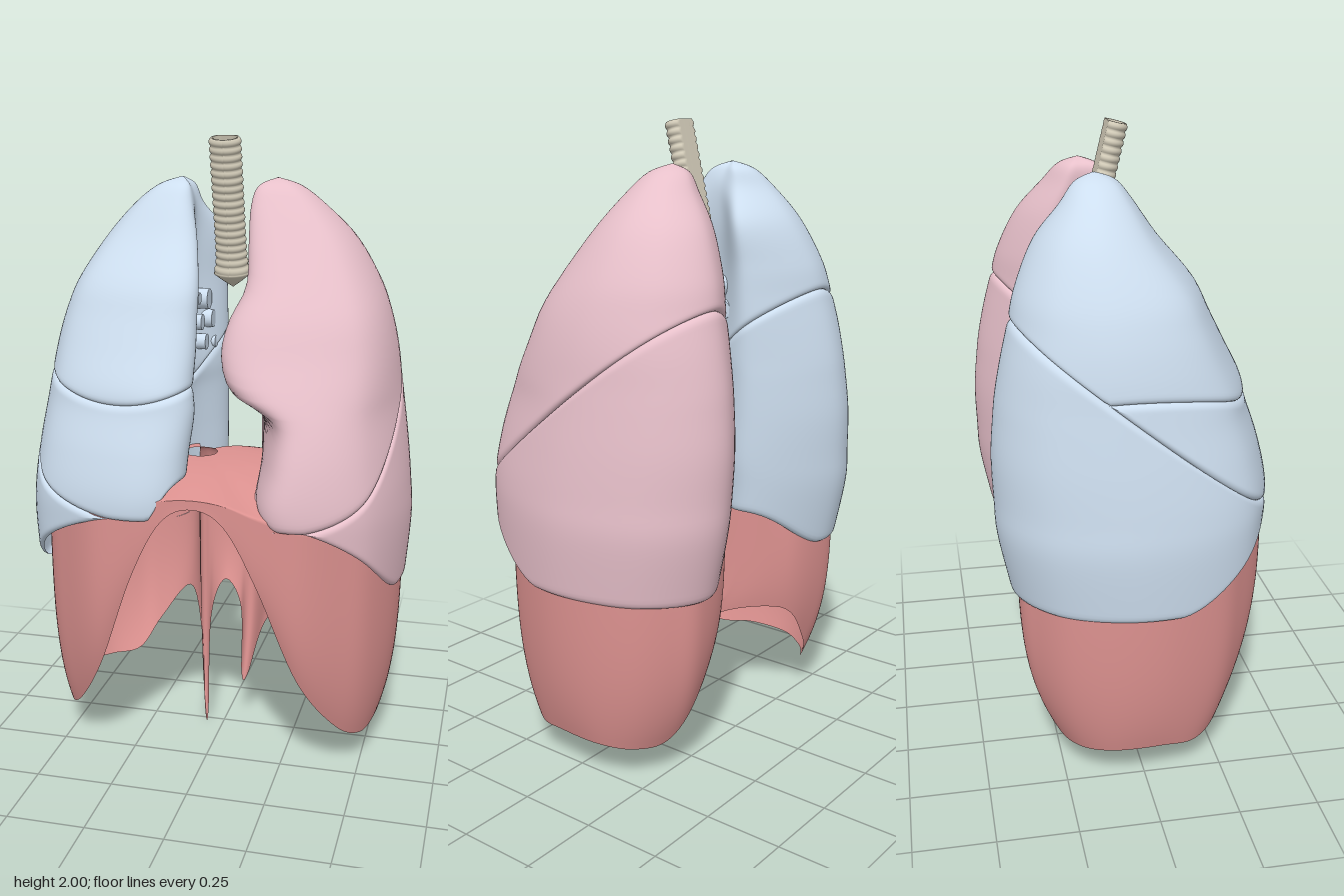
import * as THREE from 'three';

const { lerp, clamp, smoothstep } = THREE.MathUtils;
const PINK = 0xe7c0ca, BLUE = 0xcddeef, RED = 0xdd9290, BONE = 0xd2cbb8;

function mesh(name, geometry, color) {
  const m = new THREE.Mesh(geometry, new THREE.MeshStandardMaterial({ color, side: THREE.DoubleSide }));
  m.name = name;
  return m;
}

// Surface closed around u, open along v
function ringGrid(cols, rows, fn, flip) {
  const pos = [], idx = [];
  for (let j = 0; j <= rows; j++)
    for (let i = 0; i < cols; i++) pos.push(...fn(i, j / rows));
  for (let j = 0; j < rows; j++)
    for (let i = 0; i < cols; i++) {
      const a = j * cols + i, b = j * cols + (i + 1) % cols, c = a + cols, d = b + cols;
      if (flip) idx.push(a, b, c, b, d, c);
      else idx.push(a, c, b, b, c, d);
    }
  const g = new THREE.BufferGeometry();
  g.setAttribute('position', new THREE.Float32BufferAttribute(pos, 3));
  g.setIndex(idx);
  g.computeVertexNormals();
  return g;
}

// Catmull-Rom through rows of numbers, closed or clamped at the ends
function spline(rows, u, closed) {
  const n = rows.length, k = closed ? Math.floor(u) : Math.min(Math.floor(u), n - 2), t = u - k;
  const at = i => rows[closed ? (i + n) % n : clamp(i, 0, n - 1)];
  const [a, b, c, d] = [at(k - 1), at(k), at(k + 1), at(k + 2)];
  return b.map((_, i) => 0.5 * (2 * b[i] + (c[i] - a[i]) * t
    + (2 * a[i] - 5 * b[i] + 4 * c[i] - d[i]) * t * t
    + (3 * b[i] - a[i] - 3 * c[i] + d[i]) * t * t * t));
}

// Lung sections: y, inner front x, inner middle x, inner back x, outer x, front z, back z
const LEFT = [
  [0.50, 0.23, 0.20, 0.13, 0.595, 0.38, -0.37],
  [0.60, 0.22, 0.18, 0.12, 0.608, 0.41, -0.39],
  [0.80, 0.20, 0.16, 0.11, 0.622, 0.43, -0.43],
  [0.92, 0.18, 0.15, 0.10, 0.615, 0.437, -0.437],
  [1.05, 0.205, 0.14, 0.10, 0.60, 0.41, -0.44],
  [1.17, 0.20, 0.13, 0.10, 0.582, 0.37, -0.43],
  [1.25, 0.085, 0.12, 0.10, 0.57, 0.35, -0.42],
  [1.35, 0.045, 0.13, 0.10, 0.555, 0.30, -0.40],
  [1.45, 0.06, 0.14, 0.10, 0.53, 0.25, -0.375],
  [1.55, 0.10, 0.14, 0.10, 0.49, 0.18, -0.35],
  [1.68, 0.09, 0.12, 0.10, 0.41, 0.09, -0.29],
  [1.78, 0.085, 0.10, 0.10, 0.31, 0.02, -0.21],
  [1.84, 0.10, 0.105, 0.11, 0.23, -0.03, -0.16],
  [1.865, 0.15, 0.15, 0.15, 0.155, -0.095, -0.10],
];
const RIGHT_FRONT = [0.16, 0.12, 0.07, 0.05, 0.04, 0.03, 0.04, 0.04, 0.045, 0.05, 0.08, 0.11, 0.128, 0.16];
const RIGHT = LEFT.map(([y, , xm, xb, xo, zf, zb], i) => i < 11
  ? [y, RIGHT_FRONT[i], xm, xb - 0.055, xo, zf + (i === 9 ? 0.02 : 0), zb]
  : [y, RIGHT_FRONT[i], RIGHT_FRONT[i] + 0.005, RIGHT_FRONT[i], xo + 0.01, zf, zb]);

// Point on a lung: a runs 0..8 around the section, u along the section rows
function lungPoint(rows, a, u, inset = 0) {
  const [y, xi, xm, xb, xo, zf, zb] = spline(rows, u, false);
  const zc = (zf + zb) / 2, d = (zf - zb) / 2, cx = (xm + xo) / 2;
  const ring = [
    [xo, zc], [lerp(xm, xo, 0.8), zc + 0.73 * d], [lerp(xi, xo, 0.27), zf], [xi, zc + 0.78 * d],
    [xm, zc + 0.1 * d], [xb, zc - 0.55 * d], [lerp(xb, xo, 0.45), zb], [lerp(xb, xo, 0.85), zc - 0.7 * d],
  ];
  const [x, z] = spline(ring, a, true);
  const k = inset / Math.max(Math.hypot(x - cx, z - zc), 0.03);
  return [lerp(x, cx, k), y, lerp(z, zc, k)];
}

// Lobe boundaries as heights over x, z
const base = (x, z) => 0.6 + Math.max(
  0.26 * Math.pow(clamp((z - 0.1) / 0.33, 0, 1), 1.5),
  lerp(0.14, 0.38, smoothstep(z, -0.2, 0.12)) * (1 - smoothstep(x, 0.03, 0.3)));
const oblique = (x, z) => Math.max(base(x, z), 0.86 + 0.75 * (0.43 - z));
const horizontal = (x, z) => Math.max(oblique(x, z), 1.2 + 0.9 * Math.pow(x - 0.27, 2));

// Row position where the lung surface meets a boundary
function meet(rows, a, bound) {
  let lo = 0, hi = rows.length - 1;
  if (!bound) return hi;
  for (let i = 0; i < 26; i++) {
    const u = (lo + hi) / 2, [x, y, z] = lungPoint(rows, a, u);
    if (y < bound(x, z)) lo = u; else hi = u;
  }
  return lo;
}

function lobe(name, rows, side, lower, upper, color) {
  const cols = 112;
  const ends = Array.from({ length: cols }, (_, i) => {
    const a = i / cols * 8;
    return [a, meet(rows, a, lower), meet(rows, a, upper)];
  });
  // Edges roll inward so neighbouring lobes meet in a groove
  const geometry = ringGrid(cols, 44, (i, v) => {
    const [a, u0, u1] = ends[i], t = 0.5 - 0.5 * Math.cos(Math.PI * v), u = lerp(u0, u1, t);
    const y = lungPoint(rows, a, u)[1];
    const gap = Math.min(y - lungPoint(rows, a, u0)[1], upper ? lungPoint(rows, a, u1)[1] - y : 1);
    const e = 1 - clamp(gap / 0.022, 0, 1);
    const p = lungPoint(rows, a, u, 0.016 * (1 - Math.sqrt(1 - e * e)));
    return [p[0] * side, p[1], p[2]];
  }, side < 0);
  return mesh(name, geometry, color);
}

// Cut airways and vessels, nearly flush with the inner face of a lung
function hilum(side, x, color) {
  const g = new THREE.Group();
  g.name = side > 0 ? 'leftHilum' : 'rightHilum';
  [[1.47, -0.1, 0.034], [1.4, -0.05, 0.026], [1.4, -0.13, 0.03], [1.33, -0.08, 0.026], [1.48, -0.03, 0.02], [1.32, -0.15, 0.02]]
    .forEach(([y, z, r]) => {
      const stub = mesh('vesselStub', new THREE.CylinderGeometry(r, r, 0.09, 20), color);
      stub.rotation.z = Math.PI / 2;
      stub.position.set(side * (x + 0.045 + 0.2 * (z + 0.1)), y, z);
      g.add(stub);
    });
  return g;
}

// Half rims of the diaphragm from front middle to back middle: x, y, z
const LOW = [
  [0, 0.91, 0.42], [0.1, 0.86, 0.42], [0.2, 0.67, 0.41], [0.32, 0.35, 0.36], [0.43, 0.16, 0.26], [0.5, 0.10, 0.17],
  [0.535, 0.11, 0.05], [0.535, 0.11, -0.1], [0.48, 0.10, -0.2], [0.39, 0.11, -0.26], [0.32, 0.22, -0.31],
  [0.2, 0.37, -0.29], [0.12, 0.33, -0.12], [0.084, 0.18, 0], [0.066, 0.19, 0.02], [0.058, 0.43, 0], [0, 0.52, -0.01],
];
const HIGH = [
  [0, 0.94, 0.42], [0.1, 0.93, 0.42], [0.2, 0.9, 0.42], [0.33, 0.87, 0.405], [0.45, 0.85, 0.32], [0.53, 0.84, 0.23],
  [0.59, 0.83, 0.06], [0.59, 0.83, -0.1], [0.54, 0.83, -0.24], [0.45, 0.83, -0.33], [0.36, 0.83, -0.375],
  [0.2, 0.86, -0.34], [0.14, 0.9, -0.2], [0.105, 0.92, -0.08], [0.075, 0.92, -0.055], [0.05, 0.92, -0.05], [0, 0.92, -0.05],
];

// Skirt wall running over its rim into a dome with a round vein opening
function diaphragm() {
  const mirror = half => [...half, ...half.slice(1, -1).reverse().map(([x, y, z]) => [-x, y, z])];
  const low = mirror(LOW), high = mirror(HIGH), cols = low.length * 8;
  // The right crus hangs lower than the left one
  low.splice(17, 4, [-0.047, 0.38, 0], [-0.053, 0.03, 0.02], [-0.066, 0.03, 0.015], [-0.09, 0.29, -0.04]);
  return mesh('diaphragm', ringGrid(cols, 48, (i, v) => {
    const a = spline(low, i / 8, true), b = spline(high, i / 8, true);
    if (v <= 0.5) {
      const k = 1 - Math.pow(1 - 2 * v, 4);
      return [lerp(a[0], b[0], k), lerp(a[1], b[1], 2 * v), lerp(a[2], b[2], k)];
    }
    const t = 2 * v - 1, w = Math.atan2(b[2] - 0.04, b[0] + 0.07);
    return [lerp(b[0], -0.07 + 0.055 * Math.cos(w), t), lerp(b[1], 0.985, Math.sin(t * Math.PI / 2)),
      lerp(b[2], 0.04 + 0.055 * Math.sin(w), t)];
  }), RED);
}

// Ringed windpipe with a flat back, flaring at the fork
function trachea() {
  const pts = [new THREE.Vector2(0.002, -0.03), new THREE.Vector2(0.035, -0.005), new THREE.Vector2(0.062, 0.018)];
  for (let i = 0; i <= 108; i++) {
    const t = i / 108, r = 0.046 + 0.006 * Math.abs(Math.sin(t * Math.PI * 18)) + 0.012 * Math.exp(-t * 18);
    pts.push(new THREE.Vector2(r, 0.022 + t * 0.44));
  }
  pts.push(new THREE.Vector2(0.038, 0.462), new THREE.Vector2(0.036, 0.3));
  const g = new THREE.LatheGeometry(pts, 40), p = g.attributes.position;
  for (let i = 0; i < p.count; i++) p.setZ(i, Math.max(p.getZ(i) * 0.8, -0.026));
  g.computeVertexNormals();
  const m = mesh('trachea', g, BONE);
  m.position.set(0, 1.54, -0.115);
  m.rotation.x = 0.24;
  return m;
}

export function createModel() {
  const model = new THREE.Group();
  model.name = 'lungs';

  const left = new THREE.Group();
  left.name = 'leftLung';
  left.add(
    lobe('leftLowerLobe', LEFT, 1, base, oblique, PINK),
    lobe('leftUpperLobe', LEFT, 1, oblique, null, PINK),
    hilum(1, 0.108, PINK));

  const right = new THREE.Group();
  right.name = 'rightLung';
  right.add(
    lobe('rightLowerLobe', RIGHT, -1, base, oblique, BLUE),
    lobe('rightMiddleLobe', RIGHT, -1, oblique, horizontal, BLUE),
    lobe('rightUpperLobe', RIGHT, -1, horizontal, null, BLUE),
    hilum(-1, 0.075, BLUE));

  model.add(left, right, diaphragm(), trachea());
  return model;
}
